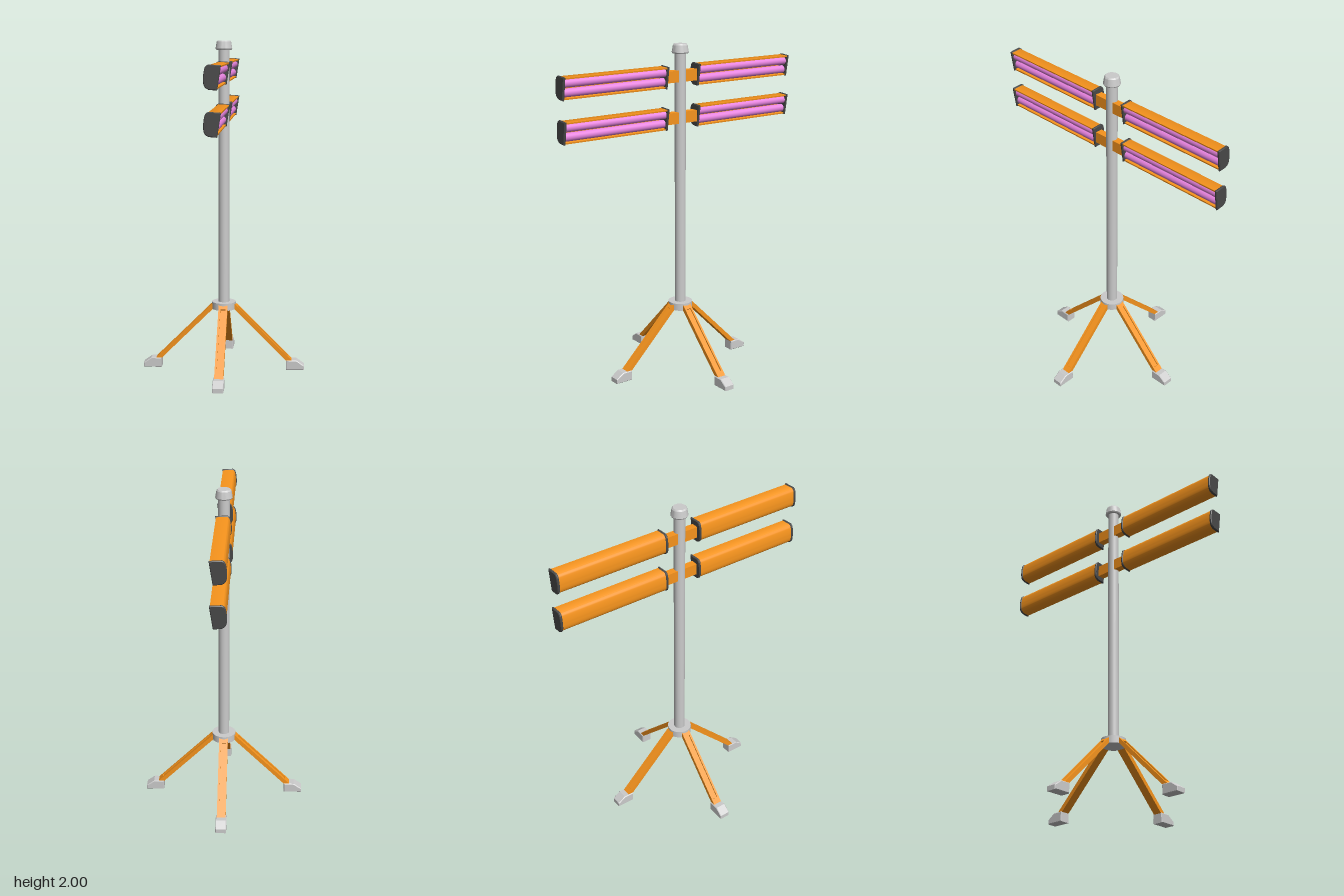
import * as THREE from 'three';
import { toCreasedNormals } from 'three/addons/utils/BufferGeometryUtils.js';

const paint = (color) => new THREE.MeshStandardMaterial({ color });
const grey = paint(0xcccccc);
const orange = paint(0xf7941d);
const pink = paint(0xe884e0);
const dark = paint(0x484848);

function add(parent, name, geometry, material, x = 0, y = 0, z = 0) {
  const mesh = new THREE.Mesh(geometry, material);
  mesh.name = name;
  mesh.position.set(x, y, z);
  parent.add(mesh);
  return mesh;
}

// Cross-section of a lamp: slanted open face on +x, rounded back on -x
const backCurve = new THREE.SplineCurve([
  [-0.022, 0.064], [-0.036, 0.052], [-0.044, 0.012], [-0.044, -0.028], [-0.036, -0.048], [-0.019, -0.059],
].map(([x, y]) => new THREE.Vector2(x, y)));
const section = [new THREE.Vector2(0.04, 0.06), ...backCurve.getPoints(20), new THREE.Vector2(0.021, -0.062)];

function extrude(shape, depth, bevel = 0) {
  const geometry = new THREE.ExtrudeGeometry(shape, {
    depth, bevelEnabled: bevel > 0, bevelSize: bevel, bevelThickness: bevel, bevelSegments: 1, curveSegments: 8,
  });
  geometry.translate(0, 0, -depth / 2);
  return toCreasedNormals(geometry, 0.6);
}

// Channel: outer outline, then back along a smaller inner outline
function channelShape() {
  const inner = section.map((p) => new THREE.Vector2(p.x * 0.82, p.y * 0.87));
  inner[0].set(0.039, 0.052);
  inner[inner.length - 1].set(0.022, -0.054);
  return new THREE.Shape([...section, ...inner.reverse()]);
}

function createLamp() {
  const lamp = new THREE.Group();
  add(lamp, 'lampHousing', extrude(channelShape(), 0.69), orange);
  for (const s of [-1, 1]) {
    add(lamp, 'lampEndCap', extrude(new THREE.Shape(section), 0.007, 0.004), dark, 0, 0, s * 0.3445);
    const tube = new THREE.CylinderGeometry(0.024, 0.024, 0.688, 24).rotateX(Math.PI / 2);
    add(lamp, 'lightTube', tube, pink, 0.003 + s * 0.005, s * 0.027, 0);
  }
  return lamp;
}

function rectangle(path, w, h) {
  path.moveTo(-w / 2, -h / 2).lineTo(w / 2, -h / 2).lineTo(w / 2, h / 2).lineTo(-w / 2, h / 2).closePath();
  return path;
}

// Leg sloping down along +x, with a long groove on its upper face, and its foot
function createLeg() {
  const leg = new THREE.Group();
  const strut = new THREE.Group();
  strut.name = 'legStrut';
  const frame = rectangle(new THREE.Shape(), 0.5, 0.054);
  frame.holes.push(rectangle(new THREE.Path(), 0.43, 0.03));
  add(strut, 'legSlab', new THREE.BoxGeometry(0.5, 0.017, 0.054), orange, 0, -0.004, 0);
  add(strut, 'legRim', extrude(frame, 0.008).rotateX(-Math.PI / 2), orange, 0, 0.0085, 0);
  strut.rotation.z = -Math.PI / 4;
  strut.position.set(0.232, 0.228, 0);
  leg.add(strut);

  const profile = new THREE.Shape([
    [0.389, 0.004], [0.491, 0.004], [0.491, 0.025], [0.447, 0.056], [0.389, 0.056],
  ].map(([x, y]) => new THREE.Vector2(x, y)));
  add(leg, 'foot', extrude(profile, 0.058, 0.004), grey);
  return leg;
}

export function createModel() {
  const model = new THREE.Group();
  model.name = 'floodlightStand';

  // Mast with its collar and cap
  add(model, 'mast', new THREE.CylinderGeometry(0.033, 0.033, 1.58, 32), grey, 0, 1.18, 0);
  add(model, 'legCollar', new THREE.CylinderGeometry(0.073, 0.073, 0.044, 24), grey, 0, 0.398, 0);
  const capProfile = [[0, 1.945], [0.046, 1.945], [0.05, 1.952], [0.043, 1.992], [0.037, 2], [0, 2]]
    .map(([x, y]) => new THREE.Vector2(x, y));
  add(model, 'mastCap', toCreasedNormals(new THREE.LatheGeometry(capProfile, 32), 0.4), grey);

  // Two rows of lamps, one lamp on each side of the mast
  for (const y of [1.813, 1.568]) {
    add(model, 'crossArm', new THREE.BoxGeometry(0.044, 0.068, 0.23), orange, 0, y, 0);
    for (const s of [-1, 1]) {
      const lamp = createLamp();
      lamp.name = s > 0 ? 'frontLamp' : 'backLamp';
      lamp.position.set(0, y, s * 0.458);
      model.add(lamp);
    }
  }

  // Four legs
  for (let i = 0; i < 4; i++) {
    const leg = createLeg();
    leg.name = 'leg';
    leg.rotation.y = (i * Math.PI) / 2;
    model.add(leg);
  }
  return model;
}
